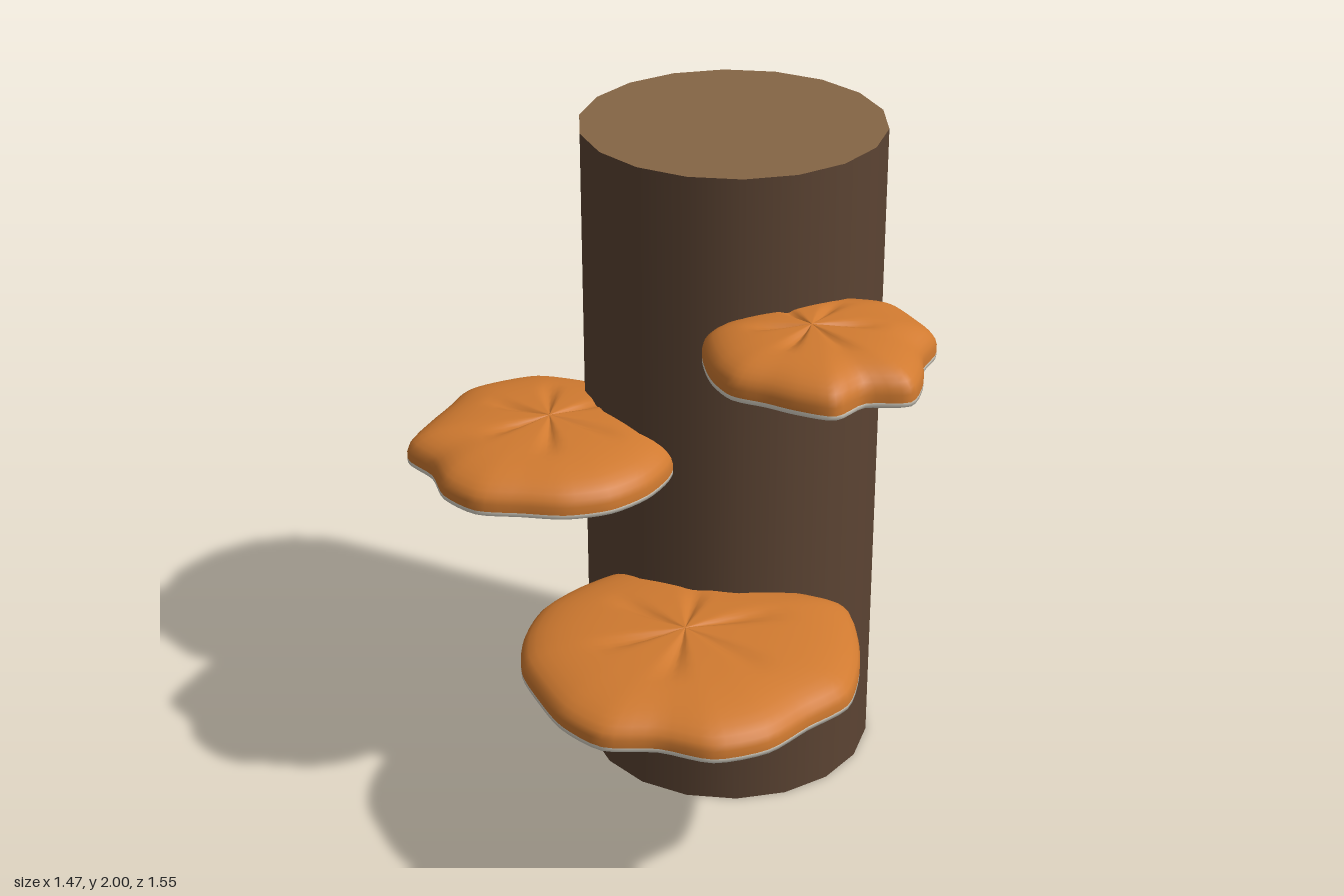
import * as THREE from 'three';

const SEGMENTS = 80;

// Loft scaled copies of an outline; rings are [scale, height]. Six narrow folds radiate from the centre.
function loft(outline, rings, turn, depth) {
  const pos = [], index = [], n = outline.length;
  for (const [s, y] of rings) {
    const fade = s < 0.6 ? Math.sin((Math.PI * s) / 0.6) : 0;
    for (const p of outline) {
      const fold = Math.abs(Math.cos(3 * (Math.atan2(p.z, p.x) - turn))) ** 12;
      pos.push(p.x * s, y - depth * fold * fade, p.z * s);
    }
  }
  for (let r = 0; r < rings.length - 1; r++) {
    for (let i = 0; i < n; i++) {
      const j = (i + 1) % n, a = r * n + i, b = r * n + j, c = a + n, d = b + n;
      index.push(a, c, b, b, c, d);
    }
  }
  const geo = new THREE.BufferGeometry();
  geo.setAttribute('position', new THREE.Float32BufferAttribute(pos, 3));
  geo.setIndex(index);
  geo.computeVertexNormals();
  return geo;
}

// Cap: upright rim, then a rounded shoulder flattening towards the centre
const capRings = [[1, 0.012], [1, 0.035]];
for (let i = 1; i <= 12; i++) {
  const t = i / 12;
  capRings.push([1 - t ** 1.7, 0.035 + 0.086 * (1 - (1 - t) ** 2.6)]);
}
// Underside: flat with a small bevel up to the rim
const underRings = [[0, -0.014], [0.15, -0.014], [0.3, -0.014], [0.45, -0.014], [0.6, -0.014],
  [0.88, -0.013], [0.96, -0.007], [1, 0], [1, 0.012]];

// Wavy edges as radii at even angles, starting at +x and turning towards +z
const SHELVES = [
  { name: 'lowerShelf', position: [0.15, 0.613, 0.28], turn: 0.2,
    radii: [0.505, 0.475, 0.5, 0.5, 0.45, 0.49, 0.475, 0.455, 0.465, 0.467,
      0.47, 0.46, 0.463, 0.46, 0.42, 0.385, 0.43, 0.52, 0.5, 0.495] },
  { name: 'middleShelf', position: [-0.37, 1.092, 0.12], turn: 0,
    radii: [0.385, 0.4, 0.41, 0.403, 0.39, 0.415, 0.4, 0.365, 0.41, 0.37,
      0.357, 0.383, 0.375, 0.377, 0.352, 0.343, 0.337, 0.342, 0.35, 0.367] },
  { name: 'upperShelf', position: [0.39, 1.49, 0], turn: 0.5,
    radii: [0.33, 0.36, 0.295, 0.342, 0.31, 0.292, 0.31, 0.3, 0.293, 0.297,
      0.26, 0.24, 0.26, 0.268, 0.28, 0.31, 0.35, 0.342, 0.35, 0.307] },
];

export function createModel() {
  const model = new THREE.Group();
  const bark = new THREE.MeshStandardMaterial({ color: 0x5c4433 });
  const wood = new THREE.MeshStandardMaterial({ color: 0x856545 });
  const skin = new THREE.MeshStandardMaterial({ color: 0xd07a30 });
  const pores = new THREE.MeshStandardMaterial({ color: 0xe6e0d2 });

  // Trunk with bark around the side and cut wood at both ends
  const trunk = new THREE.Mesh(
    new THREE.CylinderGeometry(0.4375, 0.4375, 2, 18, 1, false, Math.PI / 2), [bark, wood, wood]);
  trunk.name = 'trunk';
  trunk.position.set(-0.027, 1, -0.354);
  model.add(trunk);

  // Bracket fungi: domed wavy cap over a pale underside
  for (const { name, position, turn, radii } of SHELVES) {
    const corners = radii.map((r, i) => {
      const a = (i / radii.length) * Math.PI * 2;
      return new THREE.Vector3(r * Math.cos(a), 0, r * Math.sin(a));
    });
    const outline = new THREE.CatmullRomCurve3(corners, true, 'catmullrom', 0.4)
      .getPoints(SEGMENTS).slice(0, -1);
    const shelf = new THREE.Group();
    shelf.name = name;
    shelf.position.set(...position);
    const cap = new THREE.Mesh(loft(outline, capRings, turn, 0.014), skin);
    cap.name = 'cap';
    const underside = new THREE.Mesh(loft(outline, underRings, turn, -0.01), pores);
    underside.name = 'underside';
    shelf.add(cap, underside);
    model.add(shelf);
  }
  return model;
}
